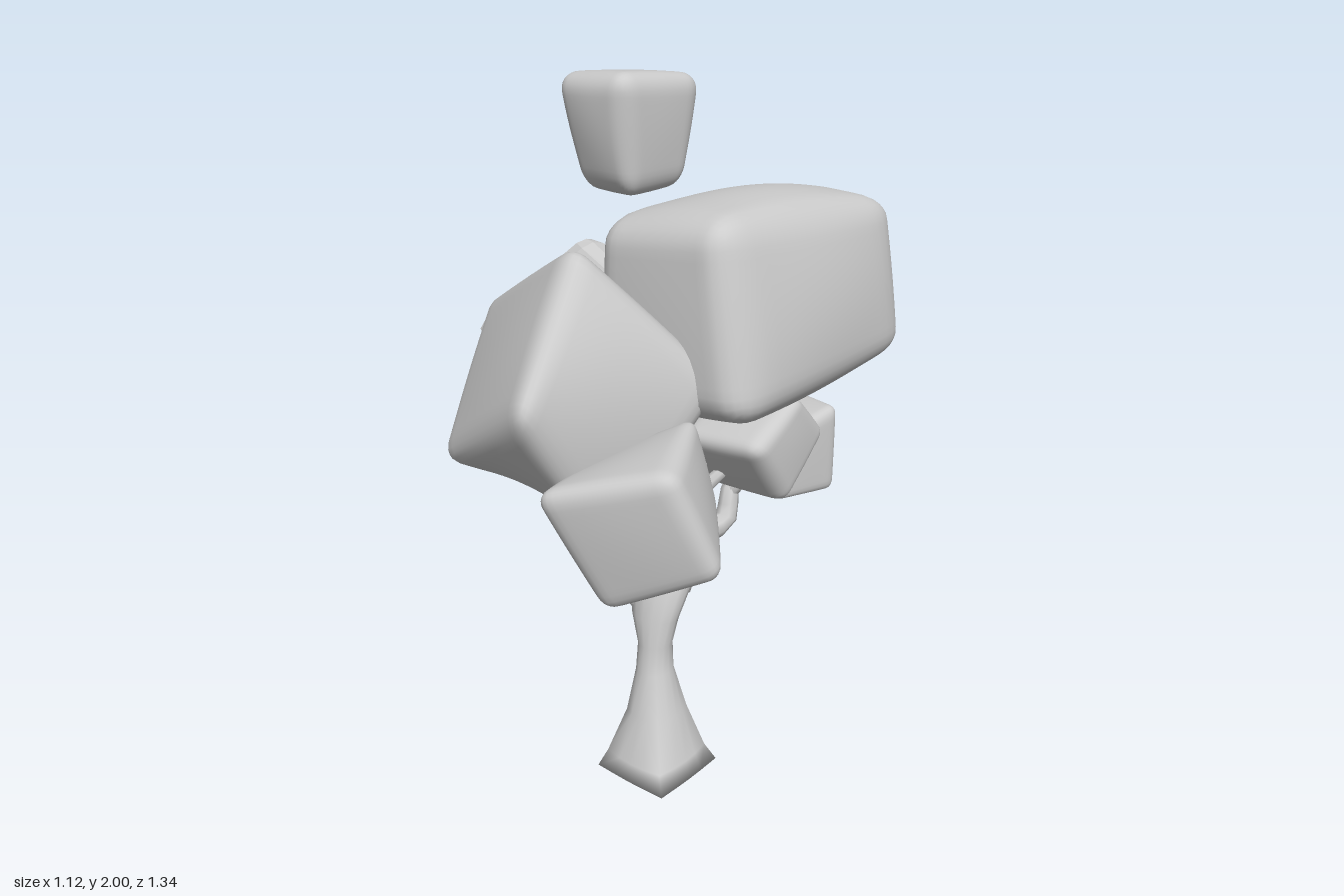
import * as THREE from 'three';
import { mergeVertices } from 'three/addons/utils/BufferGeometryUtils.js';

const { lerp, clamp } = THREE.MathUtils;
const grey = new THREE.MeshStandardMaterial({ color: 0xcccccc });
const faceted = new THREE.MeshStandardMaterial({ color: 0xcccccc, flatShading: true });
const twoSided = new THREE.MeshStandardMaterial({ color: 0xcccccc, side: THREE.DoubleSide });

// Weld seams so normals run smoothly across edges
function smooth(geo) {
  geo.deleteAttribute('uv');
  geo.deleteAttribute('normal');
  const welded = mergeVertices(geo, 1e-5);
  welded.computeVertexNormals();
  return welded;
}

function mapVertices(geo, rule) {
  const pos = geo.attributes.position;
  const v = new THREE.Vector3();
  for (let i = 0; i < pos.count; i++) {
    v.fromBufferAttribute(pos, i);
    rule(v, i);
    pos.setXYZ(i, v.x, v.y, v.z);
  }
  return geo;
}

// Skewed rounded block. Corners: four of the "top", then four of the "bottom",
// each in the order (-x-z), (+x-z), (+x+z), (-x+z) of the undeformed cube.
function block(name, corners, { round = 0.26, bulge = [0.05, 0.05, 0.05], chamfer = false } = {}) {
  const c = corners.map(p => new THREE.Vector3(...p));
  const segs = chamfer ? 3 : 20;
  const inner = 1 - round;
  const geo = mapVertices(new THREE.BoxGeometry(2, 2, 2, segs, segs, segs), v => {
    if (chamfer) for (const a of ['x', 'y', 'z']) if (Math.abs(v[a]) < 0.5) v[a] = Math.sign(v[a]) * inner;
    const core = new THREE.Vector3(clamp(v.x, -inner, inner), clamp(v.y, -inner, inner), clamp(v.z, -inner, inner));
    v.sub(core).normalize().multiplyScalar(round).add(core);
    const { x, y, z } = v;
    v.x *= 1 + bulge[0] * (1 - y * y) * (1 - z * z);
    v.y *= 1 + bulge[1] * (1 - x * x) * (1 - z * z);
    v.z *= 1 + bulge[2] * (1 - x * x) * (1 - y * y);
    // Trilinear blend of the eight corners
    const u = (v.x + 1) / 2, h = (v.y + 1) / 2, w = (v.z + 1) / 2;
    const quad = o => {
      const back = c[o].clone().lerp(c[o + 1], u);
      return back.lerp(c[o + 3].clone().lerp(c[o + 2], u), w);
    };
    v.copy(quad(4).lerp(quad(0), h));
  });
  const mesh = new THREE.Mesh(smooth(geo), chamfer ? faceted : grey);
  mesh.name = name;
  return mesh;
}

// Trunk from elliptical sections [y, x, z, rx, rz, squareness]
function trunk(sections) {
  const n = sections.length - 1;
  const geo = mapVertices(new THREE.CylinderGeometry(1, 1, 1, 16, n), v => {
    const [y, x, z, rx, rz, sq] = sections[Math.round((v.y + 0.5) * n)];
    const k = lerp(1, 1 / Math.max(Math.abs(v.x), Math.abs(v.z), 0.7), sq);
    v.set(x + v.x * rx * k, y, z + v.z * rz * k);
  });
  const mesh = new THREE.Mesh(smooth(geo), grey);
  mesh.name = 'trunk';
  return mesh;
}

// Branch: a tube that tapers from r0 to r1
function branch(name, points, r0, r1) {
  const curve = new THREE.CatmullRomCurve3(points.map(p => new THREE.Vector3(...p)));
  const rings = 12, sides = 8;
  const geo = mapVertices(new THREE.TubeGeometry(curve, rings, 1, sides), (v, i) => {
    const t = Math.floor(i / (sides + 1)) / rings;
    const centre = curve.getPointAt(t);
    v.sub(centre).multiplyScalar(lerp(r0, r1, t)).add(centre);
  });
  const mesh = new THREE.Mesh(smooth(geo), twoSided);
  mesh.name = name;
  return mesh;
}

export function createModel() {
  const tree = new THREE.Group();
  tree.name = 'tree';

  // Trunk: square flared foot, narrow waist, widening to the fork
  tree.add(trunk([
    [0, 0.165, 0.18, 0.125, 0.128, 0.9],
    [0.05, 0.16, 0.178, 0.112, 0.115, 0.6],
    [0.18, 0.15, 0.165, 0.075, 0.082, 0.25],
    [0.3, 0.13, 0.15, 0.053, 0.056, 0],
    [0.38, 0.125, 0.142, 0.05, 0.05, 0],
    [0.46, 0.11, 0.125, 0.075, 0.056, 0],
    [0.54, 0.1, 0.09, 0.095, 0.068, 0],
    [0.6, 0.09, 0.06, 0.1, 0.066, 0],
    [0.65, 0.1, 0.03, 0.07, 0.045, 0],
  ]));

  // Branches reaching to the foliage blocks
  const branches = new THREE.Group();
  branches.name = 'branches';
  branches.add(
    branch('leftBranch', [[0.05, 0.54, 0.08], [-0.01, 0.66, 0.04], [-0.04, 0.78, 0.04], [-0.02, 0.95, 0.12]], 0.052, 0.018),
    branch('leftTwig', [[-0.04, 0.77, 0.04], [-0.07, 0.85, 0], [-0.12, 0.93, -0.04]], 0.024, 0.014),
    branch('rightBranch', [[0.14, 0.54, 0.08], [0.16, 0.66, 0.03], [0.14, 0.79, 0.04], [0.17, 0.95, -0.04]], 0.052, 0.016),
    branch('frontTwig', [[0.15, 0.77, 0.04], [0.15, 0.86, 0.07], [0.17, 0.95, 0.18]], 0.026, 0.018),
    branch('sideTwig', [[0.15, 0.78, 0.03], [0.19, 0.85, -0.02], [0.25, 0.93, -0.1]], 0.024, 0.014),
    branch('backBranch', [[0.12, 0.6, 0.03], [0.14, 0.66, -0.05], [0.16, 0.68, -0.13], [0.15, 0.77, -0.17], [0.15, 0.86, -0.33]], 0.045, 0.015),
    branch('backTwig', [[0.15, 0.75, -0.16], [0.2, 0.82, -0.18], [0.25, 0.9, -0.2]], 0.022, 0.014),
    branch('stump', [[0.07, 0.47, 0.12], [0.02, 0.54, 0.15], [0, 0.595, 0.16]], 0.035, 0.022),
  );
  tree.add(branches);

  // Foliage blocks
  const foliage = new THREE.Group();
  foliage.name = 'foliage';
  foliage.add(
    block('topBlock', [
      [-0.08, 1.95, -0.07], [0.12, 1.97, -0.06], [0.11, 2.01, 0.25], [-0.16, 1.98, 0.22],
      [-0.07, 1.68, 0.01], [0.11, 1.69, 0], [0.1, 1.69, 0.21], [-0.08, 1.69, 0.2],
    ], { round: 0.36, bulge: [0.07, 0.04, 0.15] }),
    block('largeBackBlock', [
      [-0.03, 1.55, -0.65], [0.35, 1.57, -0.65], [0.33, 1.66, 0.14], [-0.1, 1.59, 0.13],
      [-0.03, 1.09, -0.66], [0.42, 1.13, -0.66], [0.45, 1.13, 0.18], [-0.09, 1.08, 0.17],
    ], { round: 0.28, bulge: [0.14, 0.2, 0.03] }),
    block('largeFrontBlock', [
      [-0.12, 1.12, -0.04], [0.34, 1.22, 0.09], [0.05, 1.62, 0.36], [-0.42, 1.33, 0.23],
      [0, 0.87, 0.26], [0.2, 0.8, 0.42], [0.17, 1.27, 0.7], [-0.29, 0.97, 0.56],
    ], { round: 0.22, bulge: [0.14, 0.08, 0.06] }),
    block('smallFrontBlock', [
      [0.13, 1.05, 0.35], [0.32, 1.17, 0.21], [0.49, 1.15, 0.51], [0.17, 1.06, 0.68],
      [0.16, 0.84, 0.3], [0.36, 0.92, 0.17], [0.59, 0.86, 0.42], [0.3, 0.71, 0.55],
    ]),
    block('leftBlock', [
      [-0.34, 1.24, -0.45], [0.08, 1.08, -0.25], [0.13, 1.31, 0], [-0.29, 1.495, -0.03],
      [-0.59, 0.94, -0.21], [-0.13, 0.77, -0.08], [-0.09, 1.01, 0.2], [-0.55, 1.2, 0.2],
    ], { round: 0.21, bulge: [0, 0, 0], chamfer: true }),
    block('smallSideBlock', [
      [0.11, 1.08, -0.16], [0.37, 1.11, -0.19], [0.38, 1.01, 0.03], [0.11, 0.99, 0.04],
      [0.11, 0.95, -0.29], [0.37, 0.96, -0.33], [0.38, 0.79, -0.13], [0.11, 0.81, -0.07],
    ], { round: 0.3 }),
    block('smallBackBlock', [
      [0.09, 0.94, -0.57], [0.29, 0.96, -0.51], [0.23, 0.89, -0.29], [0.03, 0.92, -0.37],
      [0.09, 0.74, -0.6], [0.29, 0.67, -0.51], [0.23, 0.69, -0.29], [0.03, 0.75, -0.37],
    ], { bulge: [0.03, 0.03, 0.03] }),
  );
  tree.add(foliage);
  return tree;
}
